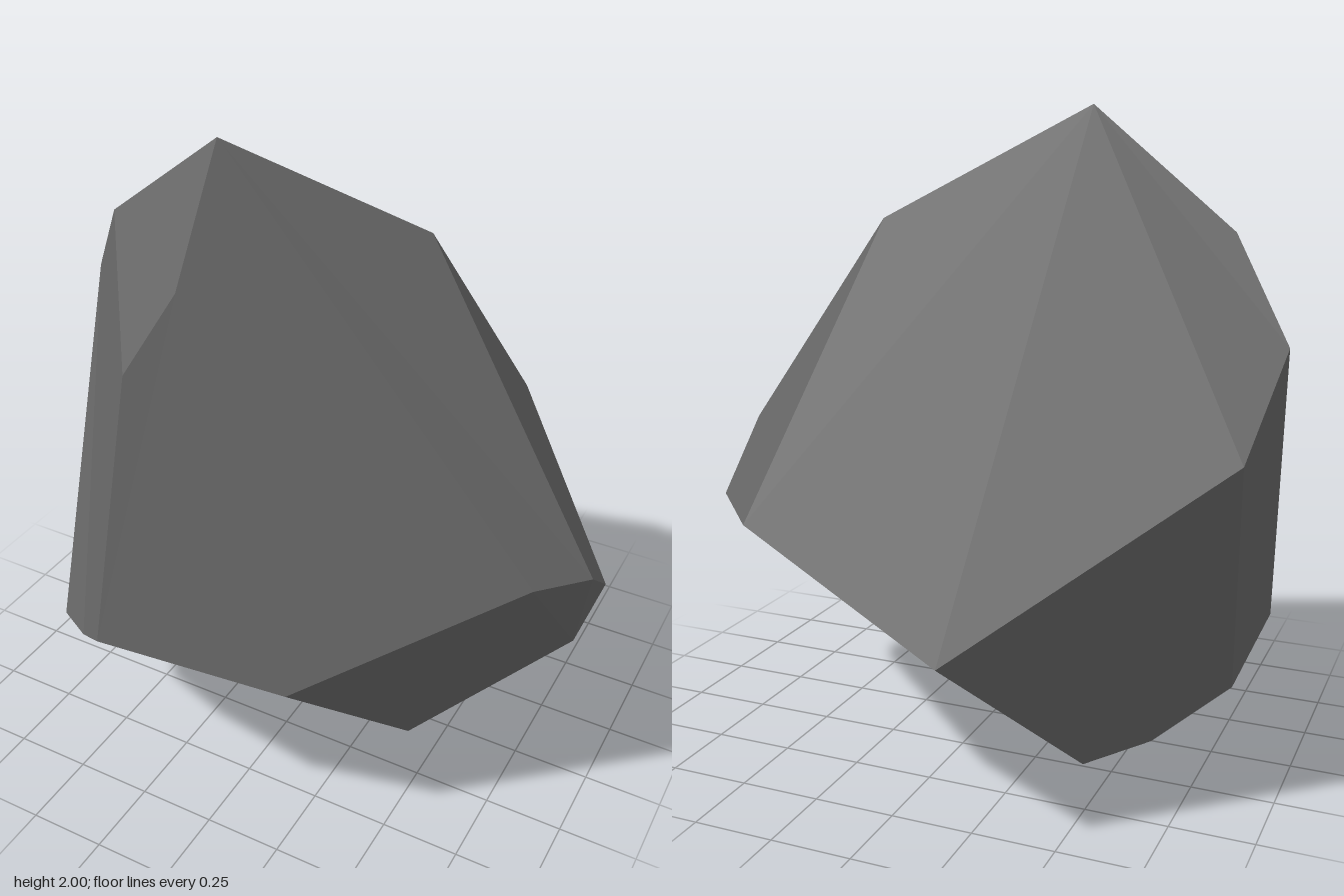
import * as THREE from 'three';

// Corners of the boulder
const P = {
  A: [-0.30, 2.0, 0.07], B: [-0.155, 1.74, 0.53], C: [-0.25, 1.53, 0.665],
  D: [-0.775, 1.64, -0.04], E: [-0.97, 1.34, -0.19], F: [0.225, 1.67, -0.30],
  G: [0.85, 0.96, 0.32], H: [0.965, 0.915, 0.13], I: [0.28, 0.645, 0.73],
  J: [-0.22, 0.80, 0.93], K: [-0.48, 0.535, 0.69], L: [-0.68, 0.43, 0.535],
  M: [-0.873, 0.40, 0.23], N: [0.465, 0.185, 0.26], O: [-0.01, 0.0, 0.12],
  P: [0.905, 0.58, 0.03], Q: [0.94, 0.70, -0.135], R: [0.37, 0.87, -0.89],
  S: [-0.23, 0.56, -0.935], T: [-0.905, 1.05, -0.42], U: [-0.825, 0.265, -0.08],
  V: [-0.46, 0.09, -0.405], W: [-0.385, 0.027, -0.245], X: [-0.62, 0.12, -0.24],
};

// Each facet is a ring of corners, fanned from its first one
const FACETS = [
  'AFRSTED', 'ABGHF', 'ABCD', 'FHQR', 'BCJIG',   // upper facets
  'EMLKJCD', 'ETUM', 'TSVXU',                    // left flank
  'IJK', 'IKL', 'ILO', 'ION',                    // chipped lower front
  'GPNI', 'GHP', 'HQP',                          // right flank
  'ONPQRSVW', 'OLMUXW', 'VWX',                   // underside
];

function facetedGeometry() {
  const center = new THREE.Vector3(0, 0.9, 0);
  const positions = [];
  for (const ring of FACETS) {
    const pts = [...ring].map((k) => new THREE.Vector3(...P[k]));
    for (let i = 1; i < pts.length - 1; i++) {
      const tri = [pts[0], pts[i], pts[i + 1]];
      // Wind every triangle so that it faces away from the core
      const normal = new THREE.Triangle(...tri).getNormal(new THREE.Vector3());
      if (normal.dot(tri[0].clone().sub(center)) < 0) tri.reverse();
      tri.forEach((p) => positions.push(p.x, p.y, p.z));
    }
  }
  const geometry = new THREE.BufferGeometry();
  geometry.setAttribute('position', new THREE.Float32BufferAttribute(positions, 3));
  geometry.computeVertexNormals(); // unshared corners give flat facets
  return geometry;
}

export function createModel() {
  const stone = new THREE.MeshStandardMaterial({ color: 0x666666 });
  stone.name = 'dark grey stone';

  const boulder = new THREE.Mesh(facetedGeometry(), stone);
  boulder.name = 'boulder';

  const model = new THREE.Group();
  model.name = 'rock';
  model.add(boulder);
  return model;
}
